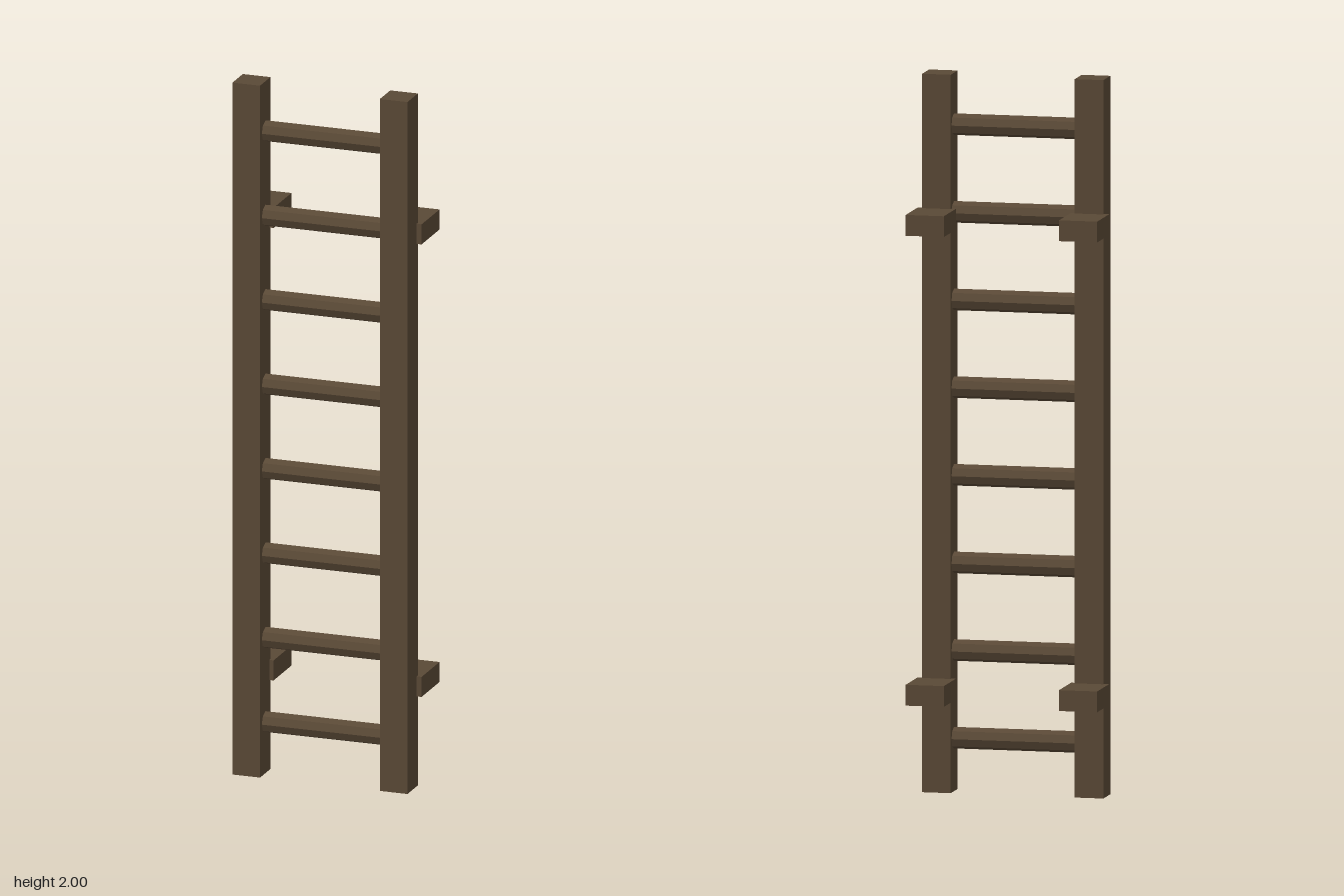
import * as THREE from 'three';

export function createModel() {
  const ladder = new THREE.Group();
  ladder.name = 'ladder';

  const wood = new THREE.MeshStandardMaterial({ color: 0x5a4936 });
  wood.name = 'darkWood';
  wood.flatShading = true;

  const add = (name, geometry, x, y, z) => {
    const mesh = new THREE.Mesh(geometry, wood);
    mesh.name = name;
    mesh.position.set(x, y, z);
    ladder.add(mesh);
  };

  const railGeometry = new THREE.BoxGeometry(0.081, 2, 0.083);
  const bracketGeometry = new THREE.BoxGeometry(0.108, 0.058, 0.144);
  // Octagonal rung laid along x, ends sunk into the rails
  const rungGeometry = new THREE.CylinderGeometry(0.03, 0.03, 0.4, 8).rotateZ(Math.PI / 2);

  // Upright rails and the wall brackets behind them
  for (const [side, s] of [['left', 1], ['right', -1]]) {
    add(`${side}Rail`, railGeometry, s * 0.216, 1, 0.066);
    add(`${side}LowerBracket`, bracketGeometry, s * 0.217, 0.289, -0.038);
    add(`${side}UpperBracket`, bracketGeometry, s * 0.217, 1.597, -0.038);
  }

  // Evenly spaced rungs
  for (let i = 0; i < 8; i++) {
    add(`rung${i + 1}`, rungGeometry, 0, 0.149 + i * 0.244, 0.064);
  }

  return ladder;
}
